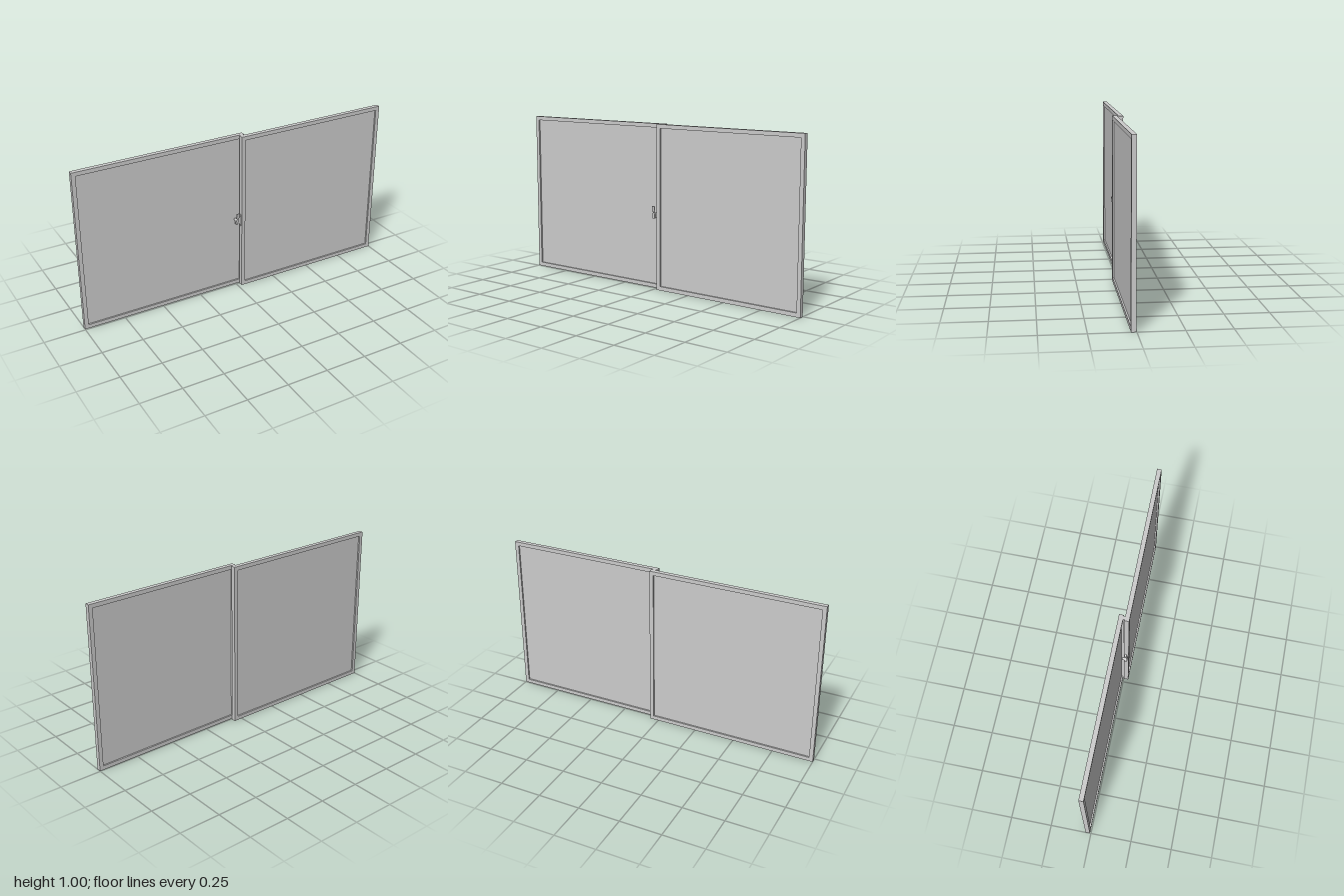
import * as THREE from 'three';

const grey = new THREE.MeshStandardMaterial({ color: 0xcccccc, flatShading: true });

function add(parent, name, geometry, x = 0, y = 0, z = 0) {
  const mesh = new THREE.Mesh(geometry, grey);
  mesh.name = name;
  mesh.position.set(x, y, z);
  parent.add(mesh);
  return mesh;
}

function rect(target, x0, y0, x1, y1) {
  target.moveTo(x0, y0);
  target.lineTo(x1, y0);
  target.lineTo(x1, y1);
  target.lineTo(x0, y1);
  target.closePath();
  return target;
}

const extrude = (shape, depth) =>
  new THREE.ExtrudeGeometry(shape, { depth, bevelEnabled: false, curveSegments: 8 });

// One sliding sash: a square-section frame around a recessed pane
function sash(name, x0, x1, z0, z1) {
  const group = new THREE.Group();
  group.name = name;
  const rim = 0.024;
  const shape = rect(new THREE.Shape(), x0, 0, x1, 1);
  shape.holes.push(rect(new THREE.Path(), x0 + rim, rim, x1 - rim, 1 - rim));
  add(group, 'frame', extrude(shape, z1 - z0), 0, 0, z0);
  add(group, 'pane', new THREE.BoxGeometry(x1 - x0 - 2 * rim, 1 - 2 * rim, 0.008),
    (x0 + x1) / 2, 0.5, (z0 + z1) / 2);
  return group;
}

// Small catch on the edge of the front sash
function latch() {
  const group = new THREE.Group();
  group.name = 'latch';

  // Bracket with a rounded nose
  const nose = new THREE.Shape();
  nose.moveTo(0.022, 0.415);
  nose.quadraticCurveTo(0.018, 0.435, 0.002, 0.44);
  nose.lineTo(0.002, 0.47);
  nose.quadraticCurveTo(0.018, 0.475, 0.022, 0.495);
  nose.closePath();
  add(group, 'bracket', extrude(nose, 0.01), 0, 0, 0.008);

  // Pivot and the hook under it
  const pivot = add(group, 'pivot', new THREE.CylinderGeometry(0.009, 0.009, 0.03, 12), -0.005, 0.46, 0.013);
  pivot.rotation.x = Math.PI / 2;
  add(group, 'hook', new THREE.BoxGeometry(0.012, 0.022, 0.012), -0.007, 0.445, 0.018);

  // Thumb lever leaning forward
  const stem = add(group, 'leverStem', new THREE.BoxGeometry(0.006, 0.035, 0.005), -0.003, 0.475, 0.026);
  const lever = add(group, 'leverPad', new THREE.BoxGeometry(0.02, 0.032, 0.004), -0.003, 0.494, 0.029);
  stem.rotation.x = lever.rotation.x = 0.12;
  return group;
}

export function createModel() {
  const model = new THREE.Group();
  model.name = 'slidingWindow';
  model.add(sash('backSash', -1, 0.055, -0.033, -0.006));
  model.add(sash('frontSash', 0.022, 1, 0.003, 0.03));
  // Seal strip where the sashes overlap
  add(model, 'interlock', new THREE.BoxGeometry(0.02, 1, 0.009), 0.038, 0.5, -0.0015);
  model.add(latch());
  return model;
}
